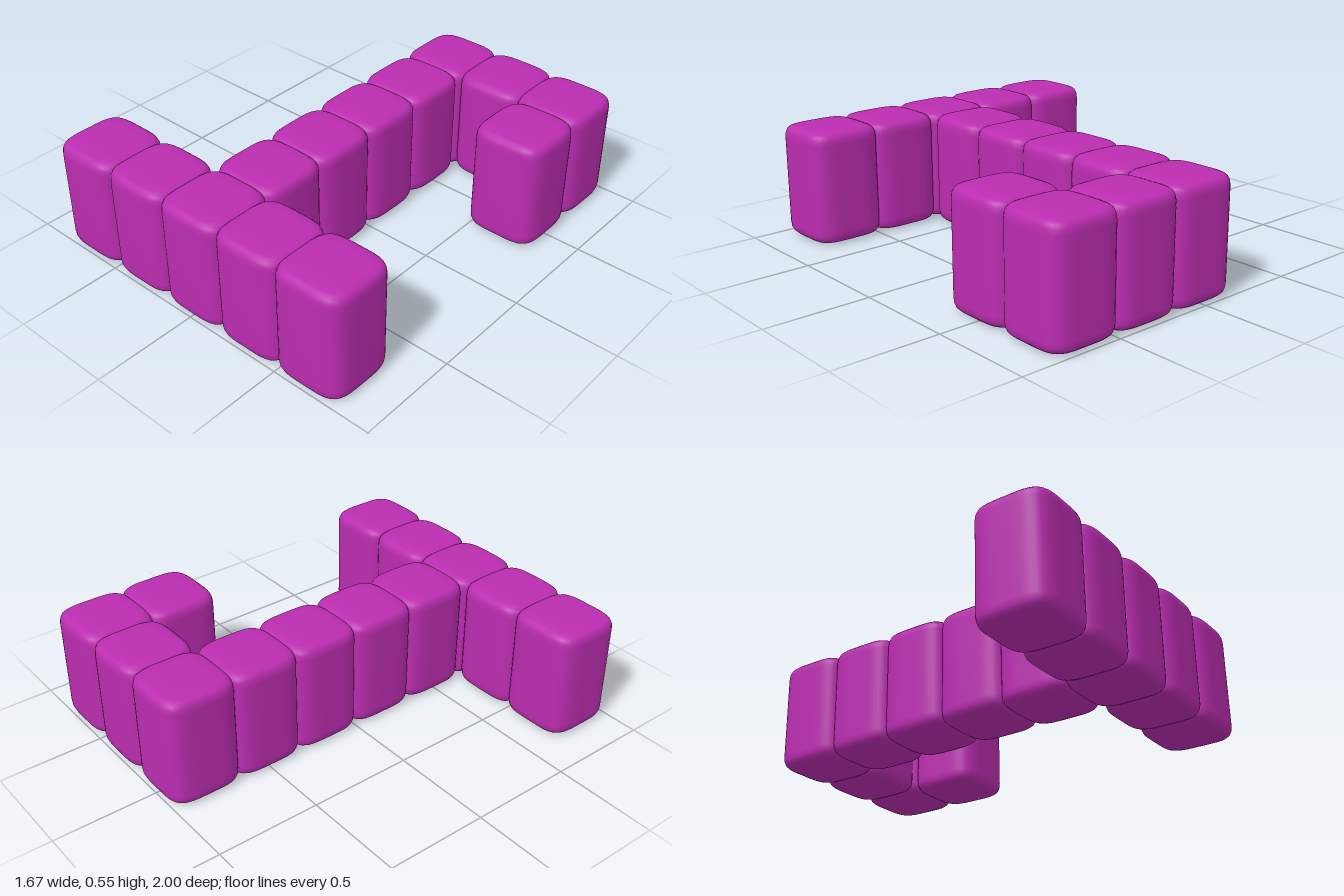
import * as THREE from 'three';
import { mergeVertices } from 'three/addons/utils/BufferGeometryUtils.js';

const PITCH = 0.328, HALF = 0.18, HEIGHT = 0.545;

// Soft block: a lathed profile whose round plan is pushed out to a rounded square
function softBlock() {
  const edge = [[0, 0], [0.6, 0.001], [0.8, 0.004], [0.89, 0.01], [0.95, 0.02], [0.985, 0.036], [1, 0.06]];
  const points = [
    ...edge.map(([r, y]) => new THREE.Vector2(r, y)),
    ...edge.slice().reverse().map(([r, y]) => new THREE.Vector2(r, HEIGHT - y)),
  ];
  let geo = new THREE.LatheGeometry(points, 64);
  const p = geo.attributes.position, n = 4.3;
  for (let i = 0; i < p.count; i++) {
    const x = p.getX(i), z = p.getZ(i), r = Math.hypot(x, z);
    if (r < 1e-6) continue;
    const k = HALF / Math.pow(Math.abs(x / r) ** n + Math.abs(z / r) ** n, 1 / n);
    p.setX(i, x * k);
    p.setZ(i, z * k);
  }
  // Weld the seam so the shading stays smooth all round
  geo.deleteAttribute('uv');
  geo.deleteAttribute('normal');
  geo = mergeVertices(geo, 1e-5);
  geo.computeVertexNormals();
  return geo;
}

export function createModel() {
  const model = new THREE.Group();
  model.name = 'blockFigure';
  const geometry = softBlock();
  const material = new THREE.MeshStandardMaterial({ color: 0xbb2db0 });

  // Each part is a run of blocks on the grid: [column, row], row 0 at the back
  const parts = {
    frontBar: [[-2, 5], [-1, 5], [0, 5], [1, 5], [2, 5]],
    stem: [[0, 4], [0, 3], [0, 2], [0, 1]],
    backBar: [[0, 0], [1, 0], [2, 0]],
    hookTip: [[2, 1]],
  };
  for (const [name, cells] of Object.entries(parts)) {
    const group = new THREE.Group();
    group.name = name;
    cells.forEach(([column, row], i) => {
      const block = new THREE.Mesh(geometry, material);
      block.name = `${name}Block${i + 1}`;
      block.position.set(column * PITCH, 0, (row - 2.5) * PITCH);
      group.add(block);
    });
    model.add(group);
  }
  return model;
}
